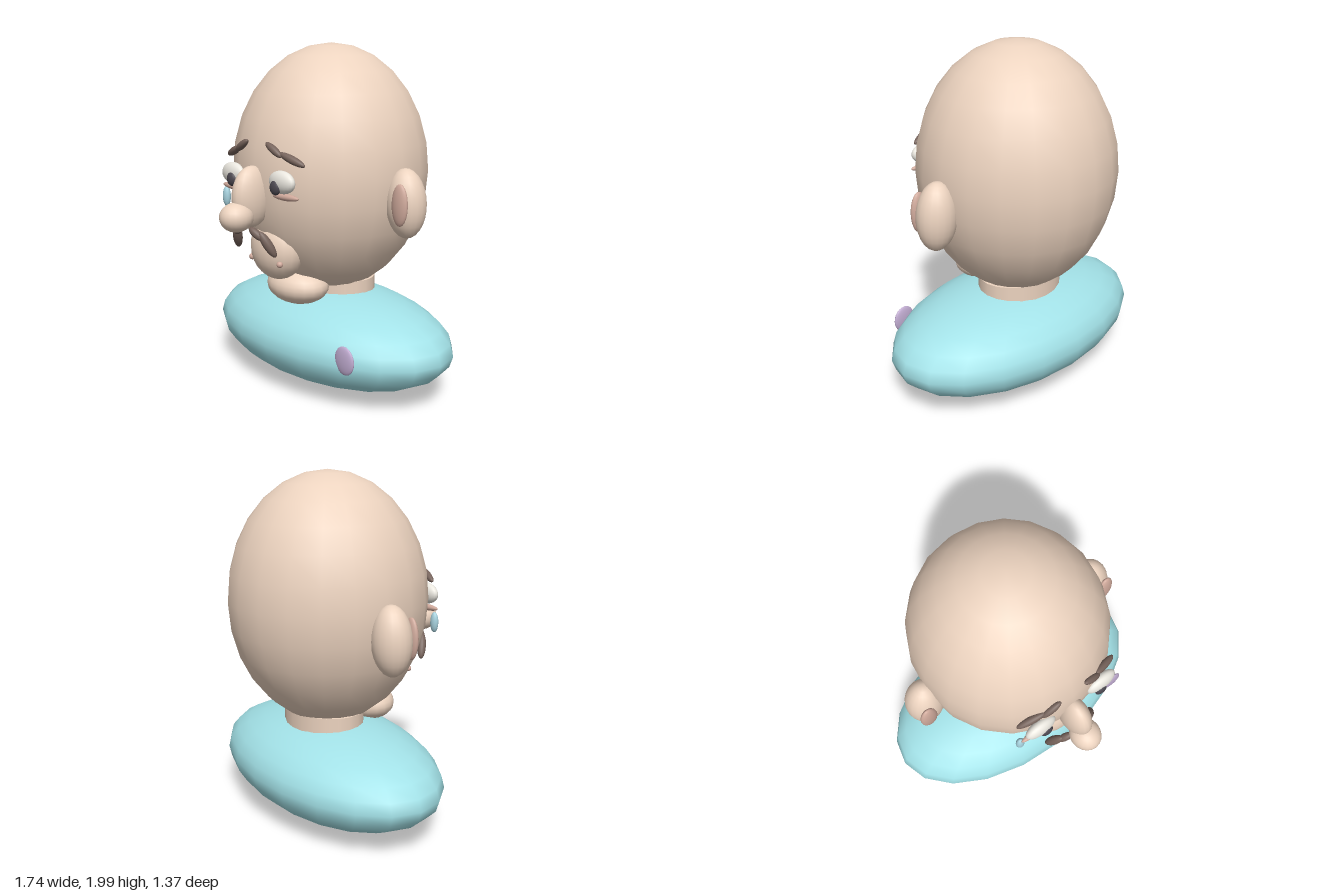
import * as THREE from 'three';

const mat = (color) => new THREE.MeshStandardMaterial({ color });
const skin = mat(0xecd3bf), hair = mat(0x76635b), blush = mat(0xd0aa9c);
const cloth = mat(0xa3e2e8), white = mat(0xeae7df), dark = mat(0x4c4850);
const water = mat(0xa8d3df), lilac = mat(0xc2add2);
const ball = new THREE.SphereGeometry(1, 20, 14);

export function createModel() {
  const model = new THREE.Group();

  // Ellipsoid from centre and radii
  function blob(name, material, center, radii, tilt = 0) {
    const mesh = new THREE.Mesh(ball, material);
    mesh.name = name;
    mesh.position.set(...center);
    mesh.scale.set(...radii);
    mesh.rotation.z = tilt;
    model.add(mesh);
    return mesh;
  }

  // Slim ellipsoid running between two points
  function strand(name, material, from, to, radius) {
    const a = new THREE.Vector3(...from), b = new THREE.Vector3(...to);
    const dir = b.clone().sub(a);
    const mesh = blob(name, material, a.clone().add(b).multiplyScalar(0.5).toArray(),
      [radius, dir.length() / 2, radius]);
    mesh.quaternion.setFromUnitVectors(new THREE.Vector3(0, 1, 0), dir.normalize());
  }

  // Shoulders, neck and head
  blob('shoulders', cloth, [0, 0.294, -0.11], [0.87, 0.288, 0.51]);
  const neck = new THREE.Mesh(new THREE.CylinderGeometry(1, 1, 0.24, 20), skin);
  neck.name = 'neck';
  neck.position.set(0, 0.52, -0.145);
  neck.scale.set(0.27, 1, 0.215);
  model.add(neck);
  blob('head', skin, [0, 1.28, -0.112], [0.568, 0.72, 0.575]);

  // Nose, muzzle and chin
  blob('noseBridge', skin, [0, 1.18, 0.48], [0.075, 0.17, 0.125]);
  blob('noseTip', skin, [0, 1.08, 0.585], [0.087, 0.082, 0.098]);
  blob('muzzle', skin, [0, 0.865, 0.3], [0.183, 0.183, 0.133]);
  blob('chin', skin, [0, 0.62, 0.15], [0.205, 0.112, 0.16]);

  // Paired features
  for (const s of [1, -1]) {
    const side = s > 0 ? 'left' : 'right';
    blob(side + 'Ear', skin, [s * 0.595, 1.15, -0.108], [0.115, 0.192, 0.107], s * 0.06);
    blob(side + 'InnerEar', blush, [s * 0.635, 1.157, -0.012], [0.053, 0.115, 0.026]);
    blob(side + 'Eye', white, [s * 0.21, 1.28, 0.44], [0.098, 0.062, 0.04]);
    blob(side + 'Pupil', dark, [s * 0.19, 1.252, 0.47], [0.038, 0.04, 0.022]);
    blob(side + 'LowerLid', blush, [s * 0.225, 1.2, 0.428], [0.104, 0.019, 0.02], s * 0.03);
    strand(side + 'OuterBrow', hair, [s * 0.33, 1.37, 0.385], [s * 0.17, 1.43, 0.425], 0.022);
    strand(side + 'InnerBrow', hair, [s * 0.195, 1.41, 0.43], [s * 0.08, 1.478, 0.44], 0.021);
    strand(side + 'InnerMoustache', hair, [s * 0.04, 1.02, 0.53], [s * 0.12, 0.96, 0.5], 0.023);
    strand(side + 'OuterMoustache', hair, [s * 0.1, 1.005, 0.51], [s * 0.165, 0.865, 0.45], 0.027);
    blob(side + 'MouthCorner', blush, [s * 0.122, 0.803, 0.388], [0.019, 0.018, 0.018]);
  }

  // Tear under the right eye, pin on the left chest
  blob('tear', water, [-0.325, 1.128, 0.41], [0.026, 0.06, 0.022]);
  blob('pin', lilac, [0.54, 0.34, 0.295], [0.071, 0.08, 0.018]);

  return model;
}
